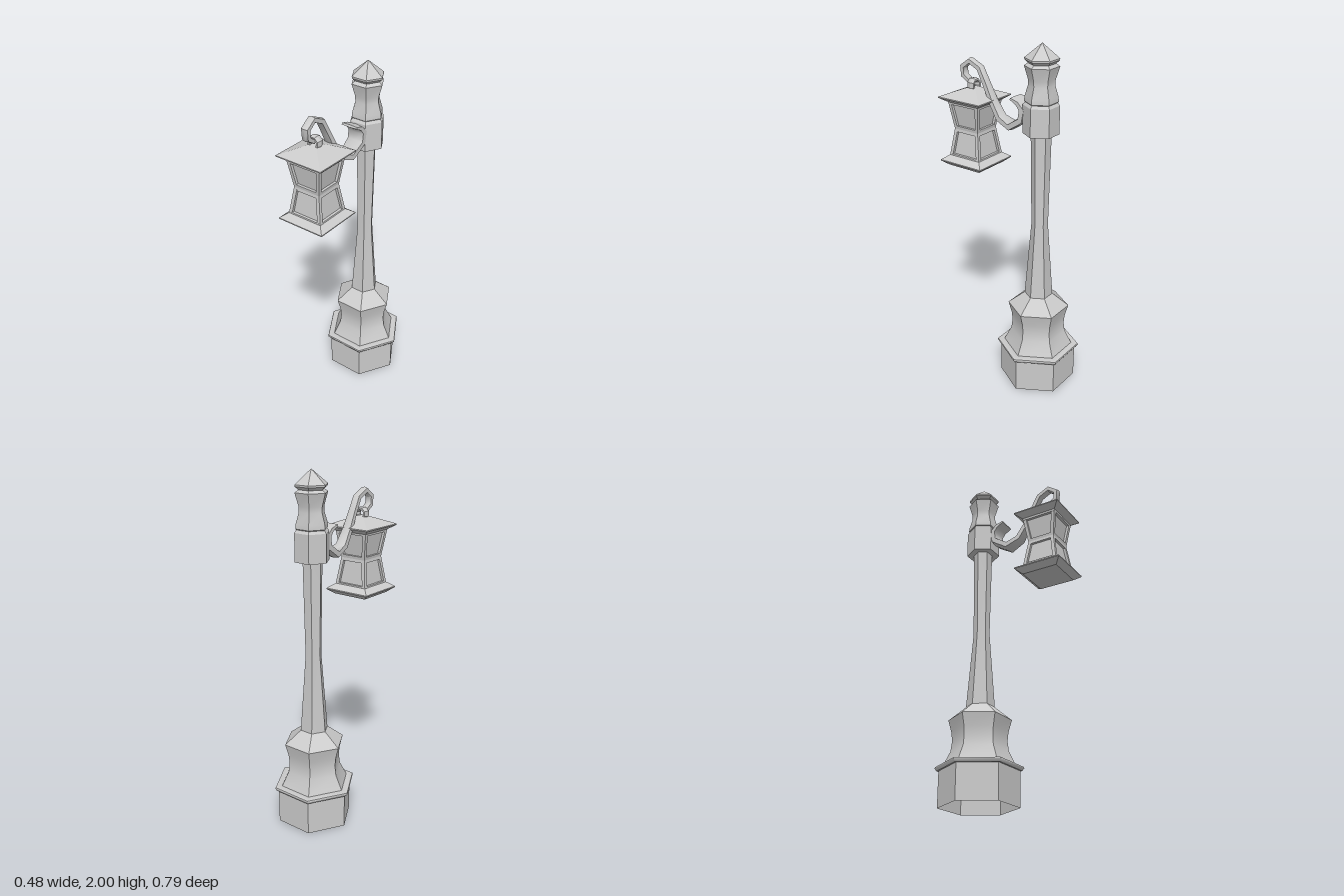
import * as THREE from 'three';
import { toCreasedNormals } from 'three/addons/utils/BufferGeometryUtils.js';

const grey = new THREE.MeshStandardMaterial({ color: 0xcccccc });
const greyOpen = new THREE.MeshStandardMaterial({ color: 0xcccccc, side: THREE.DoubleSide });

const POST_Z = -0.188, HEAD_X = 0.003;
const LANTERN_X = 0.0075, LANTERN_Z = 0.2525;

// Skin between cross-sections that turn counter-clockwise about the loft direction
function loft(sections, caps = true, crease = 0.65) {
  const n = sections[0].length;
  const index = [];
  for (let i = 0; i < sections.length - 1; i++) {
    for (let j = 0; j < n; j++) {
      const k = (j + 1) % n;
      const a = i * n + j, b = i * n + k, c = b + n, d = a + n;
      index.push(a, b, c, a, c, d);
    }
  }
  if (caps) {
    const top = (sections.length - 1) * n;
    for (let j = 1; j < n - 1; j++) {
      index.push(0, j + 1, j, top, top + j, top + j + 1);
    }
  }
  const geometry = new THREE.BufferGeometry();
  geometry.setAttribute('position', new THREE.Float32BufferAttribute(sections.flat(2), 3));
  geometry.setIndex(index);
  return toCreasedNormals(geometry, crease);
}

function ring(n, r, y, x, z, turn = 0) {
  return Array.from({ length: n }, (_, j) => {
    const a = turn + (j / n) * Math.PI * 2;
    return [x + r * Math.cos(a), y, z - r * Math.sin(a)];
  });
}

// Profiles are lists of [radius or half width, height]
const hexLoft = (profile, x, caps, crease) =>
  loft(profile.map(([r, y]) => ring(6, r, y, x, POST_Z)), caps, crease);
const squareLoft = (profile, crease) =>
  loft(profile.map(([h, y]) => ring(4, h * Math.SQRT2, y, 0, 0, Math.PI / 4)), true, crease);

function add(parent, name, geometry, material = grey) {
  const mesh = new THREE.Mesh(geometry, material);
  mesh.name = name;
  parent.add(mesh);
  return mesh;
}

function buildPost() {
  const post = new THREE.Group();
  post.name = 'post';
  // Hollow foot, open at the bottom
  add(post, 'plinth', hexLoft([[0.219, 0], [0.219, 0.2]], 0, false), greyOpen);
  add(post, 'plinthRim', hexLoft([[0.19, 0.197], [0.23, 0.197], [0.241, 0.212], [0.238, 0.219],
    [0.205, 0.225], [0.198, 0.222]], 0, false, 0.95), greyOpen);
  add(post, 'pedestal', hexLoft([[0.2, 0.22], [0.158, 0.305], [0.151, 0.36], [0.156, 0.41],
    [0.175, 0.48], [0.08, 0.555]], 0, false), greyOpen);
  add(post, 'shaft', hexLoft([[0.08, 0.55], [0.079, 0.57], [0.046, 1.0], [0.055, 1.5], [0.055, 1.55]], 0));
  // Head
  add(post, 'collar', hexLoft([[0.097, 1.525], [0.097, 1.68], [0.085, 1.695]], HEAD_X, true, 0.3));
  add(post, 'finialNeck', hexLoft([[0.08, 1.69], [0.09, 1.7], [0.088, 1.725], [0.07, 1.785],
    [0.071, 1.815], [0.092, 1.885], [0.07, 1.9]], HEAD_X, true, 0.3));
  add(post, 'finialCap', hexLoft([[0.068, 1.895], [0.09, 1.915], [0.091, 1.925], [0.002, 2]], HEAD_X, true, 0.3));
  return post;
}

// Scrolled arm, from the curled tip at the collar to the hook
function buildArm() {
  // [z, y, half width, half thickness]
  const path = [
    [-0.024, 1.696, 0.0485, 0.007], [-0.068, 1.678, 0.0485, 0.015], [-0.097, 1.645, 0.0485, 0.022],
    [-0.086, 1.585, 0.0485, 0.021], [-0.005, 1.533, 0.042, 0.022], [0.07, 1.564, 0.032, 0.02],
    [0.125, 1.65, 0.026, 0.018], [0.165, 1.73, 0.022, 0.017], [0.21, 1.815, 0.02, 0.017],
    [0.275, 1.846, 0.02, 0.017], [0.324, 1.81, 0.02, 0.017], [0.32, 1.76, 0.02, 0.016],
    [0.275, 1.73, 0.018, 0.013],
  ];
  const shape = [[1, -0.7], [1, 0.7], [0, 1], [-1, 0.7], [-1, -0.7], [0, -1]];
  const sections = path.map(([z, y, w, t], i) => {
    const p = path[Math.max(i - 1, 0)], q = path[Math.min(i + 1, path.length - 1)];
    const len = Math.hypot(q[0] - p[0], q[1] - p[1]);
    const dz = (q[0] - p[0]) / len, dy = (q[1] - p[1]) / len;
    return shape.map(([u, v]) => [LANTERN_X + u * w, y + v * t * dz, z - v * t * dy]);
  });
  return loft(sections, true, 1);
}

function buildLantern() {
  const lantern = new THREE.Group();
  lantern.name = 'lantern';
  lantern.position.set(LANTERN_X, 0, LANTERN_Z);
  const waisted = [[0.105, 1.31], [0.081, 1.472], [0.105, 1.63]];

  add(lantern, 'roof', squareLoft([[0.1, 1.622], [0.142, 1.65], [0.142, 1.656], [0.055, 1.692], [0.002, 1.711]], 0.2));
  add(lantern, 'base', squareLoft([[0.106, 1.257], [0.142, 1.285], [0.142, 1.291], [0.104, 1.318]], 0.2));
  add(lantern, 'glass', squareLoft(waisted.map(([h, y]) => [h - 0.015, y]), 0.2));

  // Corner posts follow the waisted outline
  const half = 0.01;
  for (const sx of [-1, 1]) {
    for (const sz of [-1, 1]) {
      add(lantern, 'cornerPost', loft(waisted.map(([h, y]) =>
        ring(4, half * Math.SQRT2, y, sx * (h - half), sz * (h - half), Math.PI / 4)), true, 0.2));
    }
  }

  // Horizontal frame bands
  add(lantern, 'lowerBand', squareLoft([[0.105, 1.31], [0.103, 1.326]]));
  add(lantern, 'middleBand', squareLoft([[0.0835, 1.455], [0.081, 1.472], [0.0835, 1.489]], 0.2));
  add(lantern, 'upperBand', squareLoft([[0.103, 1.613], [0.105, 1.63]]));

  // Hanging loop
  const loop = add(lantern, 'hangingLoop', toCreasedNormals(new THREE.TorusGeometry(0.029, 0.0105, 6, 8), 0.6));
  loop.scale.z = 2.3;
  loop.position.set(0, 1.718, 0.003);
  loop.rotation.z = Math.PI / 8;
  return lantern;
}

export function createModel() {
  const model = new THREE.Group();
  model.name = 'streetLamp';
  model.add(buildPost());
  add(model, 'arm', buildArm());
  model.add(buildLantern());
  return model;
}
